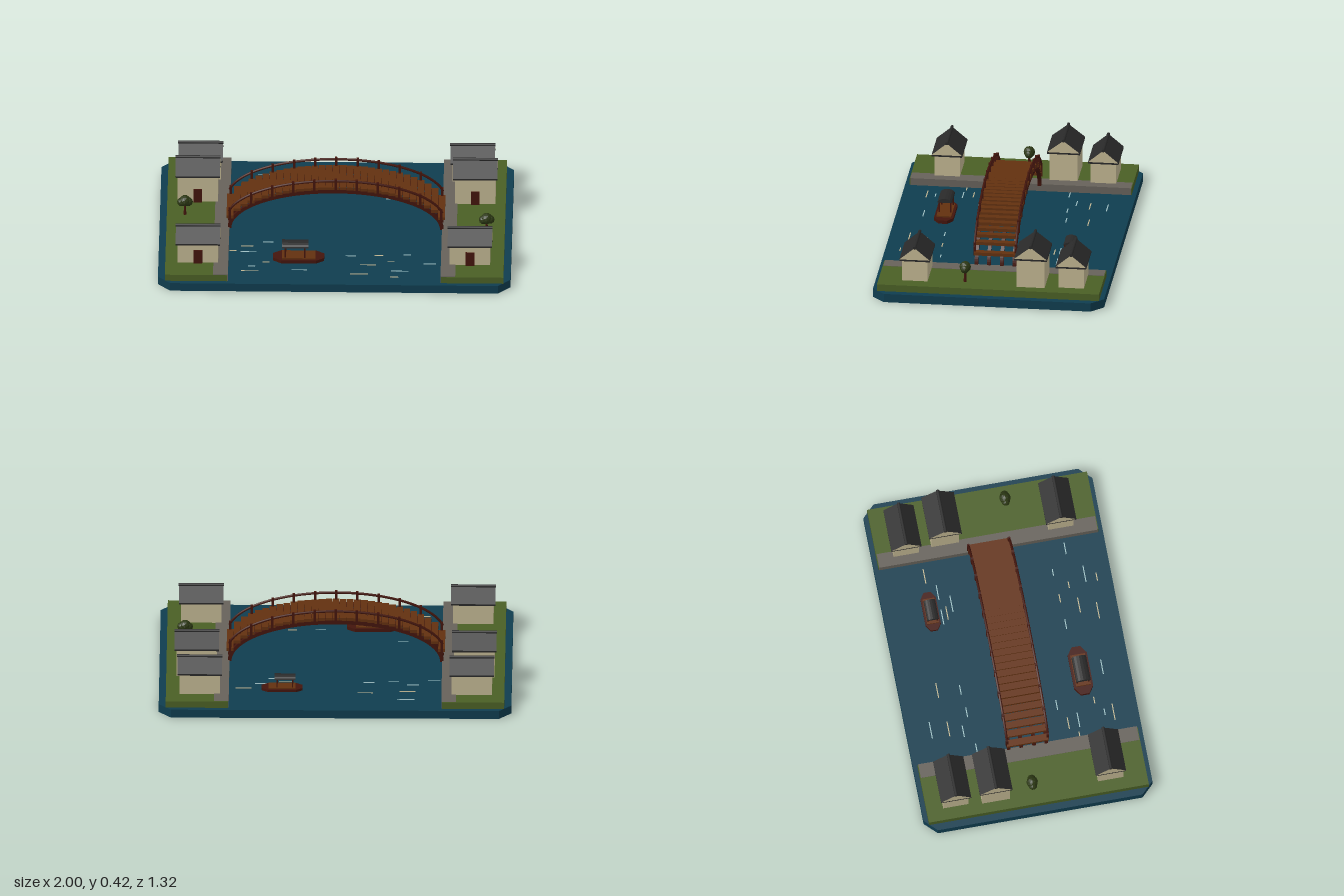
import * as THREE from 'three';

const mat = (name, color, extra = {}) => {
  const m = new THREE.MeshStandardMaterial({ color, ...extra });
  m.name = name;
  return m;
};

export function createModel() {
  const model = new THREE.Group();
  const water = mat('water', 0x0f3d4f);
  const grass = mat('grass', 0x4a5f25);
  const stone = mat('stone', 0x66615a);
  const plaster = mat('plaster', 0xc0b591);
  const tile = mat('roofTile', 0x292929);
  const plank = mat('plankWood', 0x62300f);
  const timber = mat('darkTimber', 0x43150c);
  const leaf = mat('leaf', 0x2b3713, { flatShading: true });
  const glint = mat('paleGlint', 0x9fc0c4);

  const add = (parent, name, geo, material, x = 0, y = 0, z = 0) => {
    const m = new THREE.Mesh(geo, material);
    m.name = name;
    m.position.set(x, y, z);
    parent.add(m);
    return m;
  };
  // Box given by its centre in x and z and its bottom in y
  const box = (parent, name, material, w, h, d, x, y, z) =>
    add(parent, name, new THREE.BoxGeometry(w, h, d), material, x, y + h / 2, z);
  const group = (name, x, y, z) => {
    const g = new THREE.Group();
    g.name = name;
    g.position.set(x, y, z);
    model.add(g);
    return g;
  };
  // Flat slab with cut corners, rising from y = 0
  const slab = (hx, hz, cx, cz, h) => {
    const pts = [[-hx + cx, -hz], [hx - cx, -hz], [hx, -hz + cz], [hx, hz - cz],
      [hx - cx, hz], [-hx + cx, hz], [-hx, hz - cz], [-hx, -hz + cz]];
    const s = new THREE.Shape(pts.map(p => new THREE.Vector2(...p)));
    return new THREE.ExtrudeGeometry(s, { depth: h, bevelEnabled: false }).rotateX(-Math.PI / 2);
  };

  // Water and banks
  add(model, 'waterBase', slab(1, 0.66, 0.07, 0.07, 0.05), water);
  for (const s of [-1, 1]) {
    box(model, 'grassBank', grass, 0.353, 0.04, 1.268, s * 0.7835, 0.05, 0);
    box(model, 'stoneQuay', stone, 0.084, 0.042, 1.26, s * 0.645, 0.05, 0);
  }

  // Ripples: x, z, length
  const paleRipples = [[-0.4, -0.52, 0.1], [-0.44, -0.34, 0.07], [-0.33, -0.3, 0.06], [-0.19, -0.31, 0.06],
    [-0.56, -0.285, 0.07], [0.26, -0.33, 0.09], [0.41, -0.33, 0.09], [0.33, -0.265, 0.1], [-0.38, 0.21, 0.06],
    [-0.49, 0.315, 0.09], [-0.47, 0.47, 0.04], [-0.2, 0.505, 0.09], [0.09, 0.35, 0.06], [0.41, 0.335, 0.04],
    [0.37, 0.51, 0.1], [0.54, 0.43, 0.07]];
  const tanRipples = [[-0.41, -0.42, 0.09], [-0.17, -0.44, 0.09], [0.52, -0.385, 0.09], [0.28, -0.3, 0.08],
    [-0.5, 0.255, 0.07], [-0.58, 0.305, 0.04], [-0.39, 0.425, 0.04], [-0.48, 0.52, 0.1], [0.25, 0.345, 0.05],
    [0.32, 0.41, 0.04], [0.19, 0.445, 0.09], [0.14, 0.545, 0.1], [0.34, 0.575, 0.05]];
  for (const [list, m] of [[paleRipples, glint], [tanRipples, plaster]])
    for (const [x, z, len] of list) box(model, 'ripple', m, len, 0.002, 0.006, x, 0.05, z);

  // Houses with gable roofs, door facing front
  const house = (x, z, w, d, h) => {
    const g = group('house', x, 0.09, z);
    box(g, 'walls', plaster, w, h, d, 0, 0, 0);
    box(g, 'door', timber, 0.05, 0.085, 0.012, 0, 0, d / 2 + 0.004);
    const hd = d / 2 + 0.014, len = w + 0.022, rise = 0.073;
    box(g, 'eaves', tile, len, 0.01, hd * 2, 0, h - 0.006, 0);
    const tri = new THREE.Shape([[-hd, 0], [hd, 0], [0, rise]].map(p => new THREE.Vector2(...p)));
    const roof = new THREE.ExtrudeGeometry(tri, { depth: len, bevelEnabled: false })
      .translate(0, 0, -len / 2).rotateY(Math.PI / 2);
    add(g, 'roof', roof, [plaster, tile], 0, h + 0.004, 0);
    add(g, 'ridge', new THREE.CylinderGeometry(0.009, 0.009, len + 0.004, 8).rotateZ(Math.PI / 2),
      tile, 0, h + rise + 0.004, 0);
  };
  for (const s of [-1, 1]) {
    const dx = s < 0 ? -0.775 : 0.768;
    house(dx, 0.427, 0.23, 0.146, 0.128);
    house(dx, -0.466, 0.23, 0.146, 0.128);
    house(s * 0.787, -0.237, 0.23, 0.16, 0.172);
  }

  // Trees
  for (const [x, z] of [[-0.857, -0.02], [0.857, 0.142]]) {
    const g = group('tree', x, 0.09, z);
    add(g, 'trunk', new THREE.CylinderGeometry(0.006, 0.009, 0.07, 6), timber, 0, 0.035, 0);
    for (const [bx, by, r] of [[0, 0.09, 0.033], [-0.02, 0.082, 0.025], [0.02, 0.084, 0.025]])
      add(g, 'crown', new THREE.IcosahedronGeometry(r, 1), leaf, bx, by, 0);
  }

  // Arched bridge
  const bridge = group('bridge', 0, 0, 0);
  const deckY = x => 0.115 + 0.25 * Math.sqrt(Math.max(0, 1 - (x / 0.615) ** 2));
  const arch = new THREE.Shape();
  arch.moveTo(0.612, 0.085);
  arch.absellipse(0, 0.085, 0.612, 0.263, 0, Math.PI, false);
  arch.lineTo(-0.592, 0.085);
  arch.absellipse(0, 0.085, 0.592, 0.238, Math.PI, 0, true);
  for (const z of [-0.108, -0.037, 0.037, 0.108])
    add(bridge, 'archBeam',
      new THREE.ExtrudeGeometry(arch, { depth: 0.02, bevelEnabled: false, curveSegments: 32 }), timber, 0, 0, z - 0.01);
  for (let i = -15; i <= 15; i++) {
    const x = i * 0.04;
    box(bridge, 'plank', plank, 0.0385, 0.018, 0.24, x, deckY(x) - 0.018, 0);
  }
  for (const s of [-1, 1]) {
    const z = s * 0.118;
    for (let i = -5; i <= 5; i++) {
      const x = i * 0.12;
      box(bridge, 'railPost', timber, 0.014, 0.077, 0.014, x, deckY(x) - 0.025, z);
    }
    const pts = [];
    for (let i = 0; i <= 24; i++) {
      const x = -0.605 * Math.cos(i / 24 * Math.PI);
      pts.push(new THREE.Vector3(x, deckY(x) + 0.04, z));
    }
    add(bridge, 'handrail', new THREE.TubeGeometry(new THREE.CatmullRomCurve3(pts), 48, 0.007, 6), timber);
  }

  // Covered boats
  const boat = (x, z, k) => {
    const g = group('boat', x, 0.047, z);
    g.scale.setScalar(k);
    add(g, 'hull', slab(0.145, 0.055, 0.045, 0.03, 0.022), timber);
    box(g, 'cabinFloor', plank, 0.19, 0.01, 0.085, 0.0, 0.02, 0);
    for (const px of [-0.075, 0.035])
      for (const pz of [-0.033, 0.033]) box(g, 'canopyPost', timber, 0.008, 0.07, 0.008, px, 0.028, pz);
    const half = new THREE.Shape();
    half.moveTo(0.042, 0);
    half.absellipse(0, 0, 0.042, 0.024, 0, Math.PI, false);
    const canopy = new THREE.ExtrudeGeometry(half, { depth: 0.15, bevelEnabled: false, curveSegments: 4 })
      .translate(0, 0, -0.075).rotateY(Math.PI / 2);
    add(g, 'canopy', canopy, tile, -0.02, 0.094, 0);
  };
  boat(-0.205, 0.38, 1);
  boat(0.302, -0.39, 0.8);

  return model;
}
